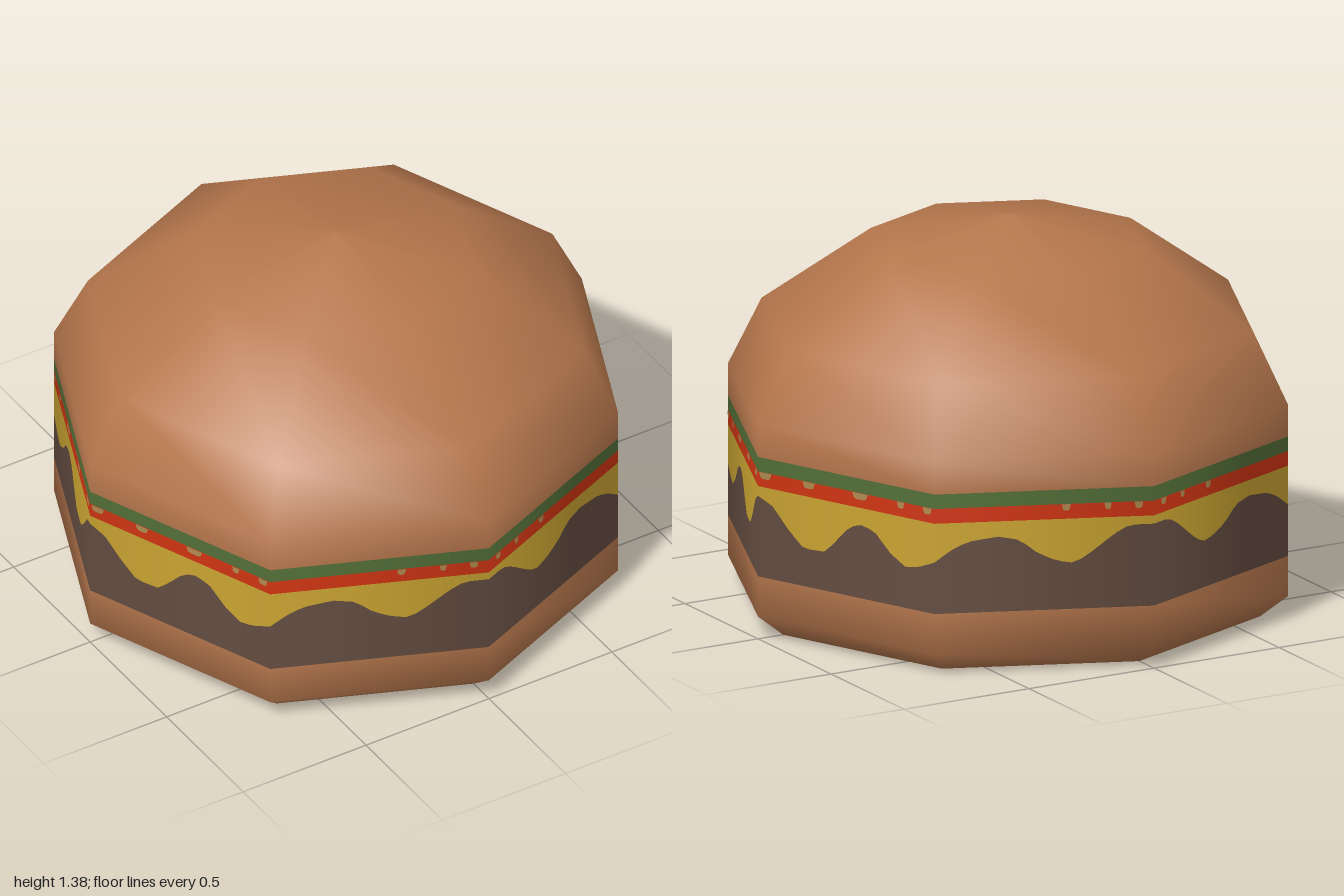
import * as THREE from 'three';

const SIDES = 8;

const material = (name, color) => {
  const m = new THREE.MeshStandardMaterial({ color });
  m.name = name;
  return m;
};

// Point on the unit octagon outline; u runs 0..8, one unit per side, starting at +z
function outline(u) {
  const k = Math.floor(u), t = u - k;
  const a = (k * Math.PI * 2) / SIDES, b = ((k + 1) * Math.PI * 2) / SIDES;
  return [
    THREE.MathUtils.lerp(Math.sin(a), Math.sin(b), t),
    THREE.MathUtils.lerp(Math.cos(a), Math.cos(b), t),
  ];
}

// Lower edge of the melted cheese along one quarter (two sides), mirrored around the burger
const DRIP = [
  [0, 0.52], [0.11, 0.52], [0.18, 0.49], [0.28, 0.43], [0.36, 0.39], [0.44, 0.40], [0.53, 0.43],
  [0.61, 0.48], [0.71, 0.495], [0.85, 0.48], [0.93, 0.45], [1, 0.41], [1.08, 0.385], [1.16, 0.37],
  [1.25, 0.41], [1.34, 0.475], [1.41, 0.49], [1.48, 0.475], [1.56, 0.41], [1.62, 0.365],
  [1.74, 0.36], [1.82, 0.41], [1.92, 0.49], [2, 0.515],
];

function drip(u) {
  const q = u % 4, s = q > 2 ? 4 - q : q;
  let i = 1;
  while (i < DRIP.length - 1 && DRIP[i][0] < s) i++;
  const [s0, y0] = DRIP[i - 1], [s1, y1] = DRIP[i];
  return THREE.MathUtils.mapLinear(s, s0, s1, y0, y1);
}

// Strip of wall between two height rules, following the octagon with smooth normals
function band(lower, upper, from = 0, to = SIDES, steps = SIDES * 24, scale = 1) {
  const pos = [], nor = [], index = [];
  for (let i = 0; i <= steps; i++) {
    const u = from + ((to - from) * i) / steps;
    const [x, z] = outline(u), l = Math.hypot(x, z);
    for (const y of [lower(u), upper(u)]) {
      pos.push(x * scale, y, z * scale);
      nor.push(x / l, 0, z / l);
    }
    if (i < steps) {
      const a = i * 2;
      index.push(a, a + 2, a + 1, a + 2, a + 3, a + 1);
    }
  }
  const g = new THREE.BufferGeometry();
  g.setAttribute('position', new THREE.Float32BufferAttribute(pos, 3));
  g.setAttribute('normal', new THREE.Float32BufferAttribute(nor, 3));
  g.setIndex(index);
  return g;
}

const lathe = (points) =>
  new THREE.LatheGeometry(points.map(([r, y]) => new THREE.Vector2(r, y)), SIDES);

export function createModel() {
  const group = new THREE.Group();
  group.name = 'burger';

  const bun = material('bun brown', 0xb5764c);
  const patty = material('patty brown', 0x634c40);
  const cheese = material('cheese yellow', 0xc9a331);
  const tomato = material('tomato red', 0xcf3412);
  const lettuce = material('lettuce green', 0x536f38);
  const seed = material('seed tan', 0xb08a50);

  const add = (name, geometry, mat) => {
    const mesh = new THREE.Mesh(geometry, mat);
    mesh.name = name;
    group.add(mesh);
  };
  const level = (y) => () => y;

  // Buns
  add('bottomBun', lathe([[0, 0], [0.9, 0], [1, 0.08], [1, 0.225]]), bun);
  add('topBun', lathe([[1, 0.655], [1, 0.77], [0.88, 1.015], [0.49, 1.295], [0, 1.385]]), bun);

  // Fillings
  add('patty', band(level(0.225), drip), patty);
  add('cheese', band(drip, level(0.55)), cheese);
  add('tomato', band(level(0.55), level(0.603)), tomato);
  add('lettuce', band(level(0.603), level(0.655)), lettuce);

  // Tomato seeds: [position along the quarter, half width], mirrored into all quarters
  const seeds = [[0.07, 0.02], [0.21, 0.016], [0.4, 0.02], [1.04, 0.025], [1.19, 0.02],
    [1.42, 0.045], [1.71, 0.035], [1.955, 0.035]];
  for (const [s, w] of seeds) {
    for (const c of [s, 4 - s, 4 + s, 8 - s]) {
      const lower = (u) => 0.603 - 0.023 * Math.sqrt(Math.max(0, 1 - ((u - c) / w) ** 4));
      add('tomatoSeed', band(lower, level(0.603), c - w, c + w, 8, 1.003), seed);
    }
  }
  return group;
}
